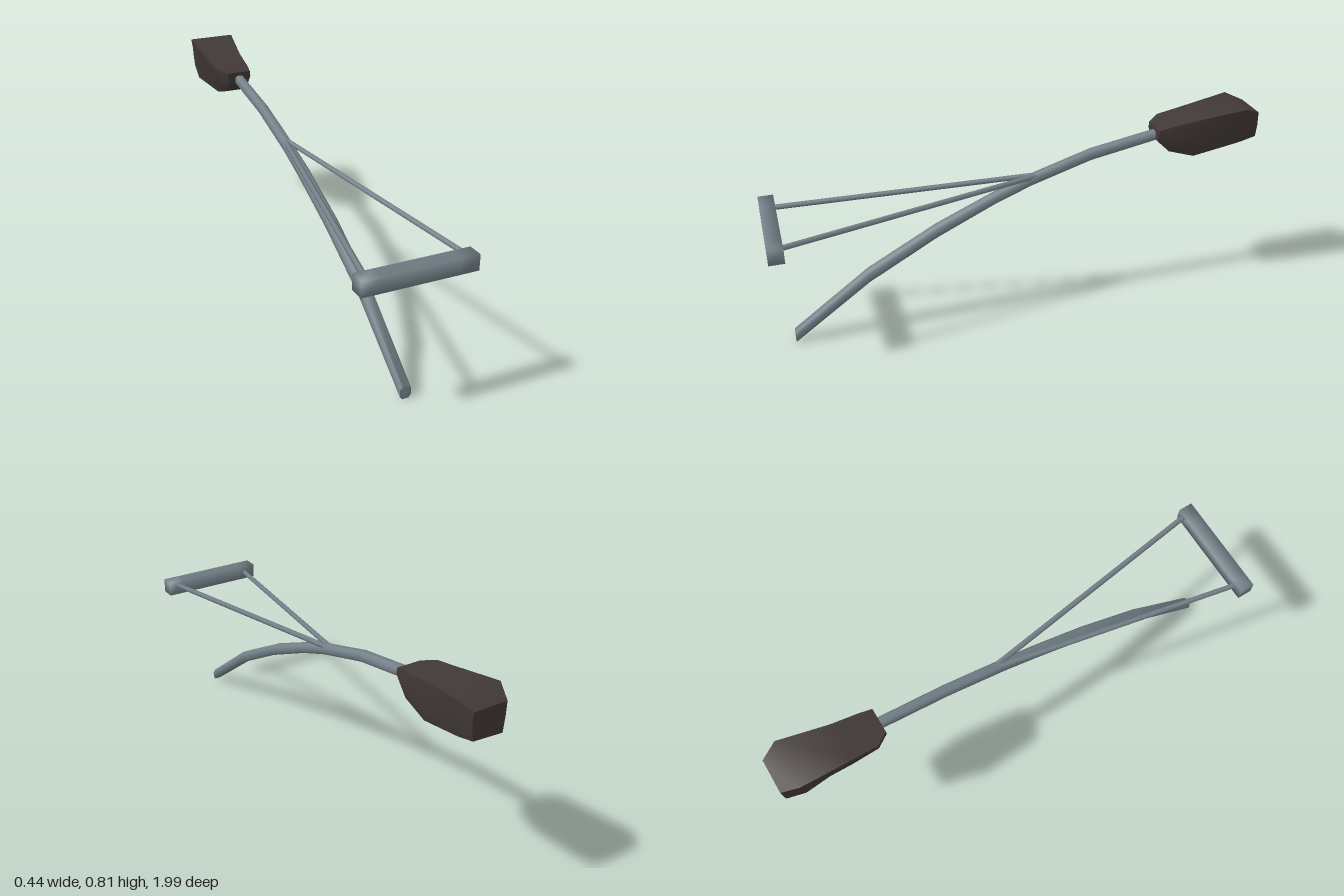
import * as THREE from 'three';
import { mergeVertices, toCreasedNormals } from 'three/addons/utils/BufferGeometryUtils.js';

const steel = new THREE.MeshStandardMaterial({ color: 0x75828a });
steel.name = 'blue grey';
const dark = new THREE.MeshStandardMaterial({ color: 0x413937 });
dark.name = 'dark brown';

// Skins rings running towards -z, each clockwise as seen from the front
function loft(rings, crease, materialOf = () => 0) {
  const n = rings[0].length, index = [];
  const geo = new THREE.BufferGeometry();
  const add = (m, ...ids) => {
    geo.addGroup(index.length, ids.length, m);
    index.push(...ids);
  };
  for (let i = 0; i < rings.length - 1; i++) {
    for (let k = 0; k < n; k++) {
      const a = i * n + k, b = i * n + (k + 1) % n;
      add(materialOf(i, k), a, b, b + n, a, b + n, a + n);
    }
  }
  const last = (rings.length - 1) * n;
  for (let k = 1; k < n - 1; k++) {
    add(0, 0, k + 1, k);
    add(0, last, last + k, last + k + 1);
  }
  geo.setAttribute('position', new THREE.Float32BufferAttribute(rings.flat(2), 3));
  geo.setIndex(index);
  return toCreasedNormals(geo, crease);
}

function part(group, name, geometry, material) {
  const mesh = new THREE.Mesh(geometry, material);
  mesh.name = name;
  group.add(mesh);
  return mesh;
}

export function createModel() {
  const model = new THREE.Group();
  model.name = 'model';

  // Curved beam: z, lower y, upper y, right x, left x
  const beam = [
    [0.93, 0.0, 0.05, -0.017, 0.027],
    [0.62, 0.228, 0.28, -0.017, 0.031],
    [0.34, 0.385, 0.434, -0.018, 0.031],
    [0.1, 0.497, 0.54, -0.018, 0.028],
    [-0.05, 0.555, 0.597, -0.017, 0.025],
    [-0.3, 0.632, 0.674, -0.017, 0.024],
    [-0.62, 0.692, 0.732, -0.016, 0.024],
  ].map(([z, lo, hi, l, r]) => {
    const c = (l + r) / 2, q = (r - l) * 0.28, e = (hi - lo) * 0.25;
    return [[c - q, hi, z], [c + q, hi, z], [r, hi - e, z], [r, lo + e, z],
      [c + q, lo, z], [c - q, lo, z], [l, lo + e, z], [l, hi - e, z]];
  });
  part(model, 'beam', loft(beam, 1.1), steel);

  // Faceted head, each ring: top right, top left, left, bottom left, bottom right, right
  const head = [
    [-0.57, [-0.048, 0.738], [0.053, 0.738], [0.055, 0.715], [0.045, 0.69], [-0.04, 0.69], [-0.05, 0.715]],
    [-0.62, [-0.085, 0.75], [0.06, 0.75], [0.065, 0.69], [0.05, 0.642], [-0.042, 0.642], [-0.075, 0.69]],
    [-0.73, [-0.088, 0.77], [0.07, 0.77], [0.078, 0.69], [0.052, 0.607], [-0.04, 0.607], [-0.077, 0.69]],
    [-0.925, [-0.093, 0.807], [0.104, 0.807], [0.09, 0.73], [0.071, 0.652], [-0.062, 0.62], [-0.078, 0.71]],
    [-0.995, [-0.064, 0.776], [0.074, 0.776], [0.076, 0.72], [0.068, 0.668], [-0.056, 0.66], [-0.062, 0.72]],
  ].map(([z, ...ring]) => ring.map(([x, y]) => [x, y, z]));
  // The rear underside is steel
  part(model, 'head', loft(head, 0.7, (i, k) => (k === 3 && i > 1 ? 1 : 0)), [dark, steel]);

  // Softly shaded cross bar
  let bar = new THREE.BoxGeometry(0.436, 0.06, 0.06, 6, 1, 1);
  bar.deleteAttribute('normal');
  bar.deleteAttribute('uv');
  bar = mergeVertices(bar);
  bar.computeVertexNormals();
  part(model, 'crossBar', bar, steel).position.set(-0.001, 0.517, 0.969);

  // Two braces fanning out from the beam to the cross bar
  const root = new THREE.Vector3(0.006, 0.594, -0.1);
  for (const [name, x, y] of [['leftBrace', 0.187, 0.535], ['rightBrace', -0.173, 0.515]]) {
    const end = new THREE.Vector3(x, y, 0.95);
    const dir = end.clone().sub(root);
    const brace = part(model, name, new THREE.CylinderGeometry(0.011, 0.011, dir.length(), 6), steel);
    brace.position.copy(root).add(end).multiplyScalar(0.5);
    brace.quaternion.setFromUnitVectors(new THREE.Vector3(0, 1, 0), dir.normalize());
  }
  return model;
}
